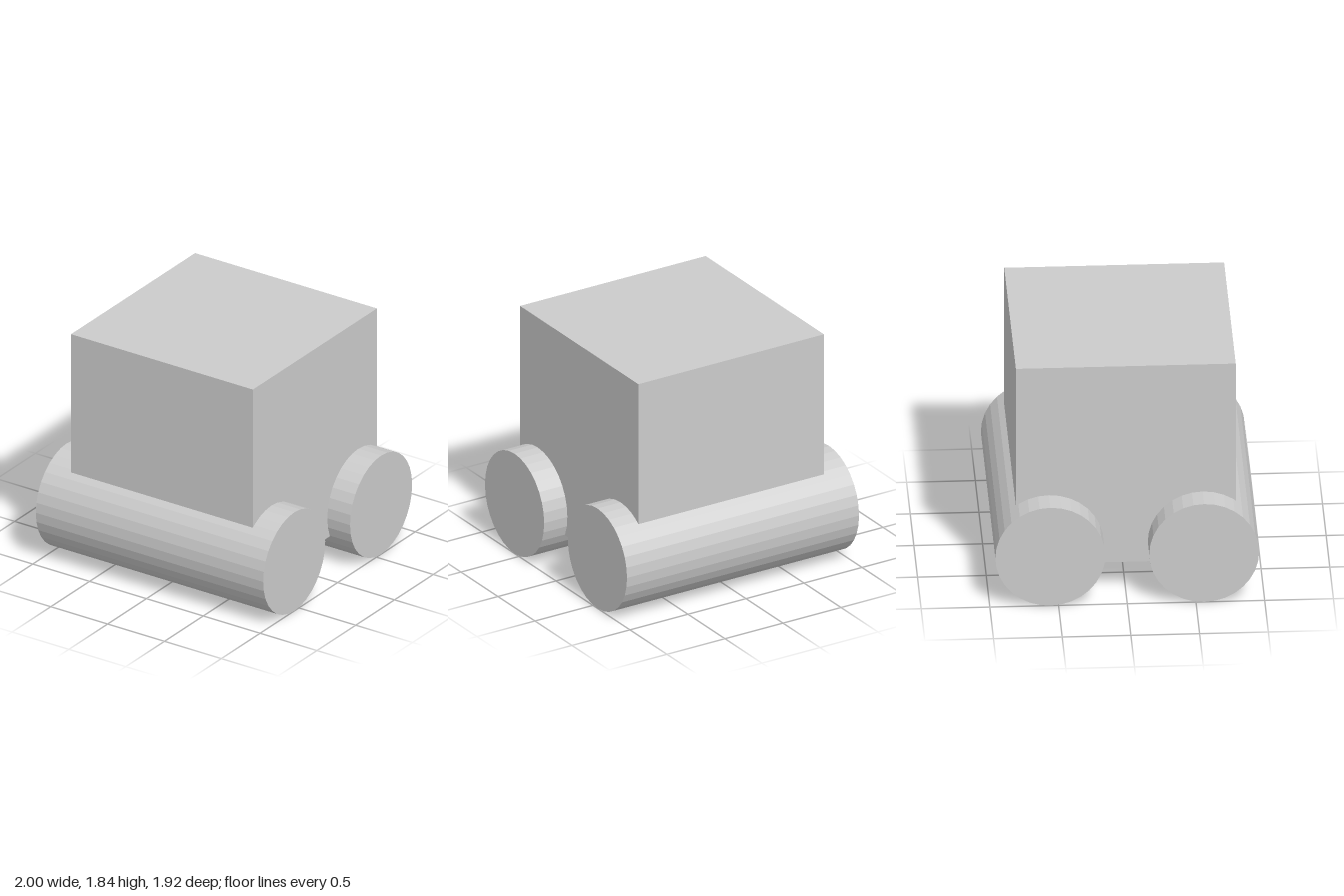
import * as THREE from 'three';

export function createModel() {
  const model = new THREE.Group();
  const material = new THREE.MeshStandardMaterial({ color: 0xcccccc, flatShading: true });

  // Cube body, sunk between the rollers
  const body = new THREE.Mesh(new THREE.BoxGeometry(1.6, 1.6, 1.6), material);
  body.name = 'body';
  body.position.y = 1.04;
  model.add(body);

  // Two full-width rollers lying along x, front and back
  const rollerGeometry = new THREE.CylinderGeometry(0.4, 0.4, 2, 32).rotateZ(Math.PI / 2);
  for (const [name, z] of [['frontRoller', 0.56], ['backRoller', -0.56]]) {
    const roller = new THREE.Mesh(rollerGeometry, material);
    roller.name = name;
    roller.position.set(0, 0.4, z);
    model.add(roller);
  }

  return model;
}
